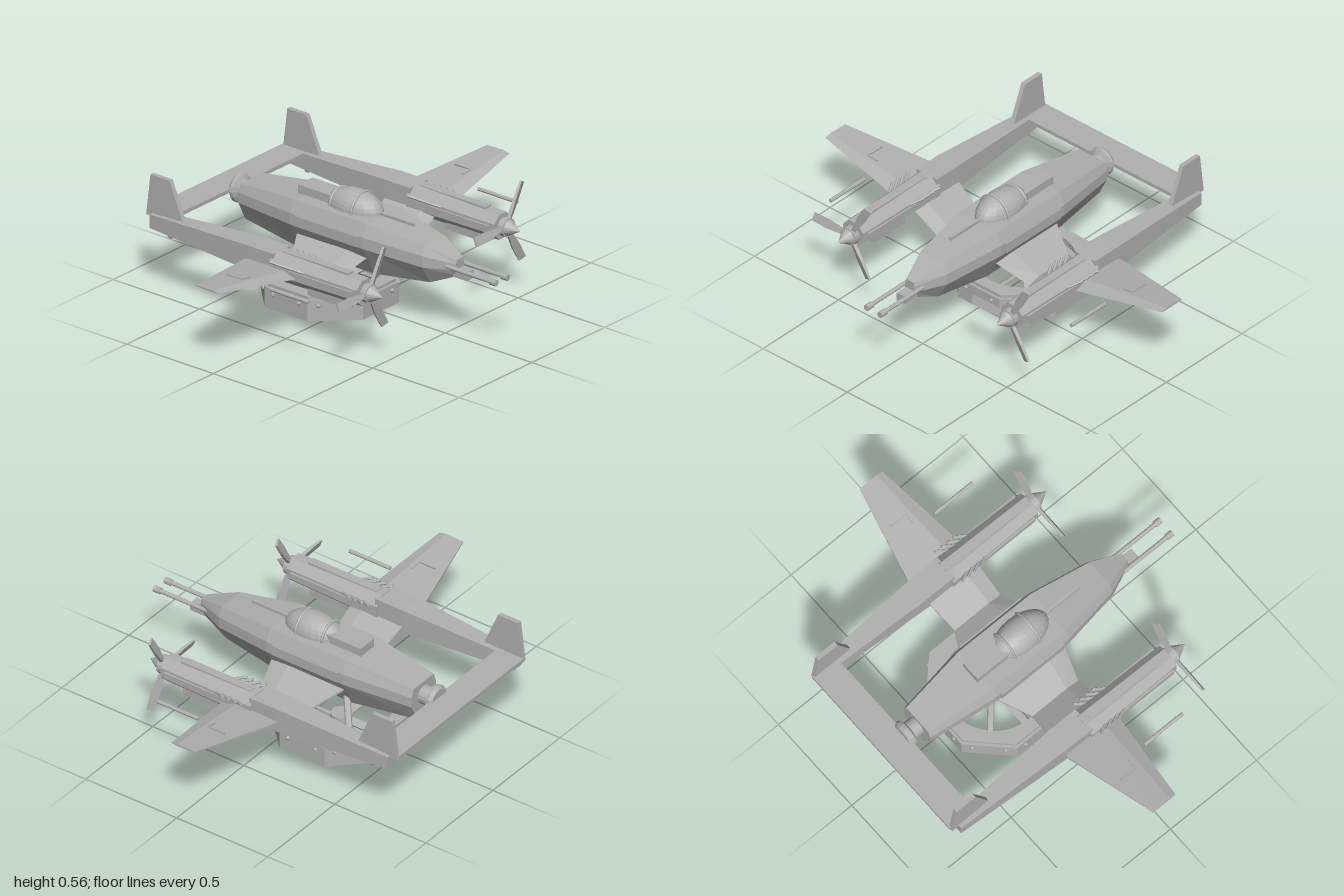
import * as THREE from 'three';

const grey = new THREE.MeshStandardMaterial({ color: 0xb0b0b0, flatShading: true });
grey.name = 'plain grey';
const V = (x, y, z) => new THREE.Vector3(x, y, z);

// Skin a row of matching closed cross-sections and cap both ends
function loft(rings) {
  const tris = [], n = rings[0].length, last = rings[rings.length - 1];
  for (let i = 0; i < rings.length - 1; i++) {
    for (let j = 0; j < n; j++) {
      const k = (j + 1) % n, a = rings[i], b = rings[i + 1];
      tris.push([a[j], a[k], b[k]], [a[j], b[k], b[j]]);
    }
  }
  for (let j = 1; j < n - 1; j++) {
    tris.push([rings[0][0], rings[0][j + 1], rings[0][j]], [last[0], last[j], last[j + 1]]);
  }
  // Faces always point outward, whichever way the sections run
  let volume = 0;
  for (const [a, b, c] of tris) volume += a.dot(b.clone().cross(c));
  const points = tris.flatMap(([a, b, c]) => (volume > 0 ? [a, b, c] : [a, c, b]));
  const geo = new THREE.BufferGeometry().setFromPoints(points);
  geo.computeVertexNormals();
  return geo;
}

function add(parent, name, geo, x = 0, y = 0, z = 0) {
  const mesh = new THREE.Mesh(geo, grey);
  mesh.name = name;
  mesh.position.set(x, y, z);
  parent.add(mesh);
  return mesh;
}
const box = (w, h, d) => new THREE.BoxGeometry(w, h, d);
const alongZ = (rFront, rBack, len, sides) =>
  new THREE.CylinderGeometry(rFront, rBack, len, sides).rotateX(Math.PI / 2);

// Round bar between two points
function rod(parent, name, a, b, r, sides = 8) {
  const dir = b.clone().sub(a);
  const mesh = add(parent, name, new THREE.CylinderGeometry(r, r, dir.length(), sides));
  mesh.position.copy(a).add(b).multiplyScalar(0.5);
  mesh.quaternion.setFromUnitVectors(V(0, 1, 0), dir.normalize());
  return mesh;
}

// Rectangular section facing z
const rectZ = (x, w, y0, y1, z) =>
  [V(x - w, y0, z), V(x + w, y0, z), V(x + w, y1, z), V(x - w, y1, z)];
// Thin wing section facing x, with tapered leading and trailing edges
const wingSection = (x, y, t, zBack, zFront) => {
  const c = zFront - zBack;
  return [V(x, y - t / 4, zFront), V(x, y + t / 2, zFront - c * 0.25), V(x, y + t / 4, zBack),
    V(x, y - t / 4, zBack), V(x, y - t / 2, zFront - c * 0.25)];
};

function buildFuselage(root) {
  const g = new THREE.Group();
  g.name = 'fuselage';
  root.add(g);
  // z, then half-width and height of top, shoulder, waist and keel
  const stations = [
    [-0.62, 0.075, 0.43, 0.09, 0.39, 0.34, 0.045, 0.25],
    [-0.28, 0.115, 0.465, 0.14, 0.405, 0.35, 0.06, 0.205],
    [0.14, 0.115, 0.465, 0.14, 0.405, 0.35, 0.06, 0.205],
    [0.44, 0.07, 0.43, 0.09, 0.385, 0.33, 0.035, 0.24],
    [0.585, 0.022, 0.385, 0.028, 0.365, 0.335, 0.015, 0.305],
  ];
  add(g, 'hull', loft(stations.map(([z, wt, yt, w, ys, yw, wk, yk]) => {
    const half = [[wk, yk], [w, yw], [w, ys], [wt, yt]];
    return [...half.map(([x, y]) => V(x, y, z)),
      ...half.reverse().map(([x, y]) => V(-x, y, z))];
  })));
  add(g, 'noseBlock', box(0.05, 0.04, 0.08), 0, 0.32, 0.605);
  add(g, 'topRail', box(0.014, 0.014, 0.2), 0, 0.473, 0.22);
  add(g, 'dorsalFairing', box(0.1, 0.045, 0.2), 0, 0.482, -0.21);
  for (const s of [-1, 1]) {
    add(g, 'sidePanel', box(0.009, 0.05, 0.36), s * 0.143, 0.378, -0.07);
    add(g, 'gunBarrel', alongZ(0.01, 0.01, 0.3, 10), s * 0.04, 0.348, 0.67);
    add(g, 'gunMuzzle', alongZ(0.015, 0.015, 0.035, 10), s * 0.04, 0.348, 0.812);
  }
  // Canopy bubble with two hoops
  const canopy = add(g, 'canopy', new THREE.SphereGeometry(1, 24, 16), 0, 0.462, -0.02);
  canopy.scale.set(0.085, 0.088, 0.15);
  for (const z of [0.025, -0.11]) {
    const k = Math.sqrt(1 - ((z + 0.02) / 0.15) ** 2);
    const hoop = add(g, 'canopyHoop', new THREE.TorusGeometry(0.088 * k, 0.007, 6, 24), 0, 0.462, z);
    hoop.scale.z = 0.9;
  }
  // Tail nozzle
  const profile = [[0, 0], [0.045, 0], [0.045, 0.05], [0.066, 0.06], [0.068, 0.075], [0.055, 0.09], [0, 0.09]];
  add(g, 'tailNozzle', new THREE.LatheGeometry(profile.map((p) => new THREE.Vector2(...p)), 16)
    .rotateX(-Math.PI / 2), 0, 0.365, -0.615);
}

function buildWing(root, s) {
  const g = new THREE.Group();
  g.name = s > 0 ? 'leftWing' : 'rightWing';
  root.add(g);
  // Cranked inner wing, then the long outer panel
  add(g, 'innerWing', loft([
    wingSection(s * 0.1, 0.305, 0.022, -0.27, 0.14),
    wingSection(s * 0.265, 0.23, 0.022, -0.175, 0.09),
    wingSection(s * 0.43, 0.32, 0.022, -0.2, 0.09)]));
  add(g, 'outerWing', loft([
    wingSection(s * 0.43, 0.32, 0.03, -0.22, 0.1),
    wingSection(s * 0.55, 0.335, 0.028, -0.205, 0.09),
    wingSection(s, 0.397, 0.01, -0.1, 0.03)]));
  const tilt = s * Math.atan2(0.062, 0.45);
  add(g, 'wingPanelLong', box(0.007, 0.009, 0.09), s * 0.785, 0.378, -0.06).rotation.z = tilt;
  add(g, 'wingPanelShort', box(0.05, 0.009, 0.008), s * 0.758, 0.374, -0.016).rotation.z = tilt;
  rod(g, 'wingProbe', V(s * 0.715, 0.338, 0.09), V(s * 0.715, 0.338, 0.315), 0.009);
}

function buildEngine(root, s) {
  const g = new THREE.Group();
  g.name = s > 0 ? 'leftEngine' : 'rightEngine';
  g.position.set(s * 0.472, 0.34, 0);
  root.add(g);
  add(g, 'nacelle', alongZ(0.065, 0.075, 0.5, 8).rotateZ(Math.PI / 8), 0, 0, 0.185);
  add(g, 'nacelleTopPlate', box(0.04, 0.012, 0.38), 0, 0.066, 0.16);
  add(g, 'chinIntake', box(0.07, 0.035, 0.2), 0, -0.073, 0.23);
  for (const side of [-1, 1]) {
    add(g, 'nacelleSideStrip', box(0.012, 0.03, 0.36), side * 0.066, 0, 0.23);
    // Swept exhaust stubs
    for (let i = 0; i < 4; i++) {
      const z = 0.14 - i * 0.035;
      rod(g, 'exhaustStub', V(side * 0.055, 0.02, z), V(side * 0.093, 0.042, z - 0.07), 0.007, 6);
    }
  }
  // Three-bladed propeller
  const prop = new THREE.Group();
  prop.name = 'propeller';
  prop.position.z = 0.455;
  g.add(prop);
  add(prop, 'propellerHub', alongZ(0.044, 0.044, 0.03, 16));
  add(prop, 'spinner', new THREE.ConeGeometry(0.044, 0.075, 16).rotateX(Math.PI / 2), 0, 0, 0.0425);
  for (let i = 0; i < 3; i++) {
    const arm = new THREE.Group();
    arm.name = 'propellerArm';
    arm.rotation.z = Math.PI / 3 + i * Math.PI * 2 / 3;
    prop.add(arm);
    const cut = (x, w, t) => [V(x, -w, -t), V(x, w, -t), V(x, w, t), V(x, -w, t)];
    add(arm, 'propellerBlade', loft([cut(0.02, 0.009, 0.008), cut(0.07, 0.014, 0.008),
      cut(0.13, 0.02, 0.007), cut(0.215, 0.019, 0.005)])).rotation.x = 0.35;
  }
}

function buildTail(root) {
  const fin = new THREE.Shape([[0.61, 0.37], [0.69, 0.56], [0.8, 0.56], [0.825, 0.36]]
    .map((p) => new THREE.Vector2(...p)));
  for (const s of [-1, 1]) {
    const x = s * 0.47;
    add(root, 'tailBoom', loft([rectZ(x, 0.03, 0.31, 0.375, -0.79),
      rectZ(x, 0.06, 0.285, 0.405, -0.2), rectZ(x, 0.06, 0.29, 0.405, -0.05)]));
    add(root, 'tailFin', new THREE.ExtrudeGeometry(fin, { depth: 0.022, bevelEnabled: false })
      .rotateY(Math.PI / 2).translate(x - 0.011, 0, 0));
    add(root, 'tailLamp', new THREE.SphereGeometry(0.017, 10, 8), x, 0.295, -0.69);
  }
  add(root, 'tailplane', box(0.94, 0.018, 0.14), 0, 0.371, -0.76);
}

function buildLiftFan(root) {
  const g = new THREE.Group();
  g.name = 'liftFan';
  g.position.z = -0.17;
  root.add(g);
  // Octagonal ring with a round opening
  const ring = (apothem, hole, depth) => {
    const r = apothem / Math.cos(Math.PI / 8), pts = [];
    for (let i = 0; i < 8; i++) {
      const a = (i + 0.5) * Math.PI / 4;
      pts.push(new THREE.Vector2(r * Math.cos(a), r * Math.sin(a)));
    }
    const shape = new THREE.Shape(pts);
    shape.holes.push(new THREE.Path().absarc(0, 0, hole, 0, Math.PI * 2, true));
    return new THREE.ExtrudeGeometry(shape, { depth, bevelEnabled: false, curveSegments: 20 })
      .rotateX(-Math.PI / 2);
  };
  add(g, 'fanHousing', ring(0.298, 0.245, 0.1));
  add(g, 'fanTopPlate', ring(0.285, 0.23, 0.014), 0, 0.1, 0);
  add(g, 'fanLip', new THREE.TorusGeometry(0.245, 0.01, 6, 32).rotateX(Math.PI / 2), 0, 0.012, 0);
  add(g, 'fanHub', new THREE.CylinderGeometry(0.05, 0.05, 0.05, 16), 0, 0.05, 0);
  for (let i = 0; i < 4; i++) {
    const a = i * Math.PI / 2;
    const blade = add(g, 'fanBlade', box(0.21, 0.012, 0.035).rotateX(0.6), 0.143 * Math.cos(a), 0.05, -0.143 * Math.sin(a));
    blade.rotation.y = a;
  }
  // Two rivets on each face
  for (let i = 0; i < 8; i++) {
    const a = i * Math.PI / 4;
    for (const t of [-0.075, 0.075]) {
      add(g, 'rivet', new THREE.SphereGeometry(0.01, 8, 6),
        0.299 * Math.cos(a) - t * Math.sin(a), 0.075, 0.299 * Math.sin(a) + t * Math.cos(a));
    }
  }
  // Splayed struts up to the keel
  for (const sx of [-1, 1]) {
    for (const sz of [-1, 1]) {
      rod(g, 'fanStrut', V(sx * 0.06, 0.25, sz * 0.07), V(sx * 0.165, 0.095, sz * 0.165), 0.016);
    }
  }
}

export function createModel() {
  const root = new THREE.Group();
  root.name = 'twinBoomAircraft';
  buildFuselage(root);
  for (const s of [-1, 1]) {
    buildWing(root, s);
    buildEngine(root, s);
  }
  buildTail(root);
  buildLiftFan(root);
  return root;
}
